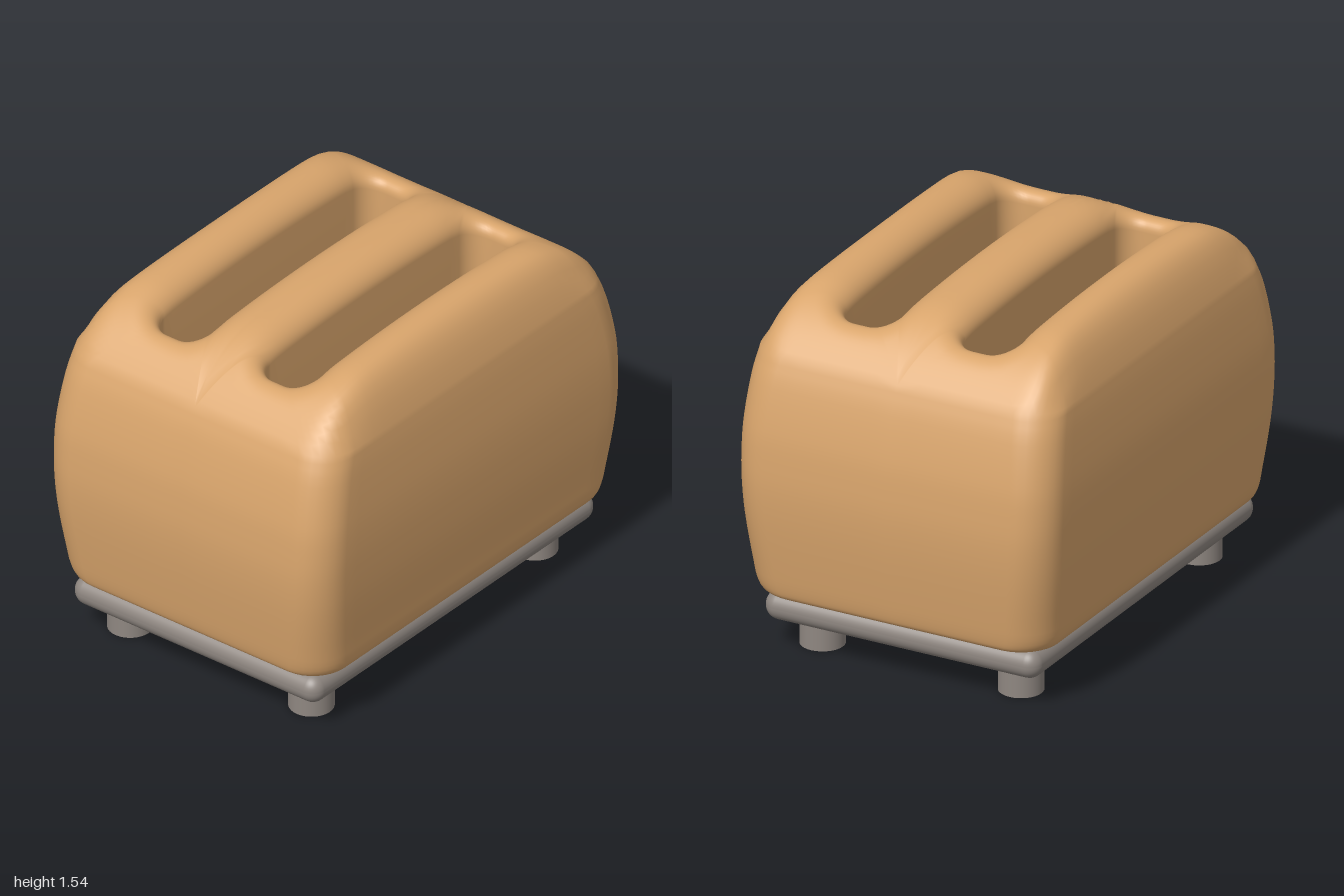
import * as THREE from 'three';
import { mergeVertices } from 'three/addons/utils/BufferGeometryUtils.js';
import { RoundedBoxGeometry } from 'three/addons/geometries/RoundedBoxGeometry.js';

const ARC = 8, LONG = 24, SHORT = 6;
const SLOT = { a: 0.69, z0: 0.147, z1: 0.392, r: 0.09 };

// Rounded rectangle from x = -a..a and z = z0..z1, always with the same number of points
function outline(a, z0, z1, rIn, rOut) {
  const corners = [
    [a - rIn, z0 + rIn, rIn, -Math.PI / 2], [a - rOut, z1 - rOut, rOut, 0],
    [-a + rOut, z1 - rOut, rOut, Math.PI / 2], [-a + rIn, z0 + rIn, rIn, Math.PI],
  ];
  const at = ([cx, cz, r, start], i) => {
    const angle = start + (i / ARC) * Math.PI / 2;
    return [cx + r * Math.cos(angle), cz + r * Math.sin(angle)];
  };
  const points = [];
  corners.forEach((corner, k) => {
    for (let i = 0; i <= ARC; i++) points.push(at(corner, i));
    const from = at(corner, ARC), to = at(corners[(k + 1) % 4], 0);
    const n = k % 2 ? LONG : SHORT;
    for (let i = 1; i < n; i++) {
      points.push([0, 1].map((c) => from[c] + (to[c] - from[c]) * i / n));
    }
  });
  points.push(points[0]);
  return points;
}

// Height of the crowned top, with a rounded lip falling into the slot
function topHeight(x, z) {
  const dx = 0.055 * x * x + 1.93 * Math.max(0, Math.abs(x) - 0.5) ** 2.5;
  const dz = 0.24 * (Math.max(0, z - 0.46) / 0.23) ** 3.6;
  const crown = 1.54 - (dx ** 1.5 + dz ** 1.5) ** (1 / 1.5);
  const qx = Math.abs(x) - SLOT.a + SLOT.r;
  const qz = Math.abs(z - (SLOT.z0 + SLOT.z1) / 2) - (SLOT.z1 - SLOT.z0) / 2 + SLOT.r;
  const dist = Math.hypot(Math.max(qx, 0), Math.max(qz, 0)) + Math.min(Math.max(qx, qz), 0) - SLOT.r;
  const u = THREE.MathUtils.clamp(1 - dist / 0.13, 0, 1);
  return crown - 0.1 * (1 - Math.sqrt(1 - u * u));
}

function bodyGeometry() {
  const rings = [];
  const flat = (points, y) => rings.push(points.map(([x, z]) => [x, y, z]));
  const floorY = 0.8, half = (SLOT.z1 - SLOT.z0) / 2;

  // Slot floor and walls
  for (let i = 0; i <= 6; i++) {
    const angle = (i / 6) * Math.PI / 2;
    const inset = half * (1 - Math.sin(angle));
    flat(outline(SLOT.a - inset, SLOT.z0 + inset, SLOT.z1 - inset,
      Math.max(0, Math.min(SLOT.r, half - inset)), Math.max(0, Math.min(SLOT.r, half - inset))),
    floorY + 0.1 * (1 - Math.cos(angle)));
  }
  const rim = outline(SLOT.a, SLOT.z0, SLOT.z1, SLOT.r, SLOT.r);
  flat(rim, 1.1);
  flat(rim, 1.3);

  // Top, from the slot rim out to the shoulder and the centre line
  const shoulder = outline(0.9, 0, 0.69, 0, 0.16);
  for (let i = 0; i <= 20; i++) {
    const t = (i / 20) ** 1.7;
    rings.push(rim.map(([x, z], j) => {
      const px = x + (shoulder[j][0] - x) * t, pz = z + (shoulder[j][1] - z) * t;
      return [px, i === 20 && pz > 1e-6 ? 1.3 : topHeight(px, pz), pz];
    }));
  }
  const topEnd = rings.length - 1;

  // Bulging sides as half width, height, half depth, then the underside
  const side = new THREE.CatmullRomCurve3([
    [0.9, 1.3, 0.69], [0.94, 1.2, 0.704], [0.985, 1, 0.72], [0.997, 0.87, 0.723],
    [1, 0.75, 0.72], [0.99, 0.6, 0.711], [0.963, 0.4, 0.69], [0.945, 0.3, 0.677],
    [0.932, 0.268, 0.66], [0.9, 0.252, 0.625], [0.86, 0.25, 0.59],
  ].map((p) => new THREE.Vector3(...p)));
  side.getPoints(36).slice(1).forEach((p) => flat(outline(p.x, 0, p.z, 0, 0.16), p.y));
  flat(outline(0.86, 0, 0, 0, 0), 0.25);

  // Stitch the rings, once for the front half and once mirrored for the back
  const positions = [], index = [], n = rim.length;
  const outerStart = ARC, outerEnd = 3 * (ARC + 1) + 2 * (SHORT - 1) + LONG - 1;
  for (const s of [1, -1]) {
    const base = positions.length / 3;
    rings.forEach((ring) => ring.forEach(([x, y, z]) => positions.push(x, y, s * z)));
    for (let i = 0; i < rings.length - 1; i++) {
      const [from, to] = i < topEnd ? [0, n - 1] : [outerStart, outerEnd];
      for (let j = from; j < to; j++) {
        const a = base + i * n + j, b = a + 1, c = a + n, d = c + 1;
        if (s > 0) index.push(a, b, c, b, d, c);
        else index.push(a, c, b, b, c, d);
      }
    }
  }
  let geometry = new THREE.BufferGeometry();
  geometry.setAttribute('position', new THREE.Float32BufferAttribute(positions, 3));
  geometry.setIndex(index);
  geometry = mergeVertices(geometry, 1e-4);
  geometry.computeVertexNormals();
  return geometry;
}

export function createModel() {
  const group = new THREE.Group();
  const tan = new THREE.MeshStandardMaterial({ color: 0xd9a56c });
  const grey = new THREE.MeshStandardMaterial({ color: 0x8f8781 });
  const add = (name, geometry, material, x, y, z) => {
    const mesh = new THREE.Mesh(geometry, material);
    mesh.name = name;
    mesh.position.set(x, y, z);
    group.add(mesh);
  };

  add('body', bodyGeometry(), tan, 0, 0, 0);
  add('basePlate', new RoundedBoxGeometry(1.81, 0.125, 1.255, 5, 0.06), grey, -0.015, 0.188, 0.002);

  // Four short round feet
  const foot = new THREE.CylinderGeometry(0.093, 0.093, 0.16, 32);
  add('frontLeftFoot', foot, grey, 0.708, 0.08, 0.448);
  add('frontRightFoot', foot, grey, -0.738, 0.08, 0.465);
  add('backLeftFoot', foot, grey, 0.708, 0.08, -0.458);
  add('backRightFoot', foot, grey, -0.738, 0.08, -0.458);
  return group;
}
